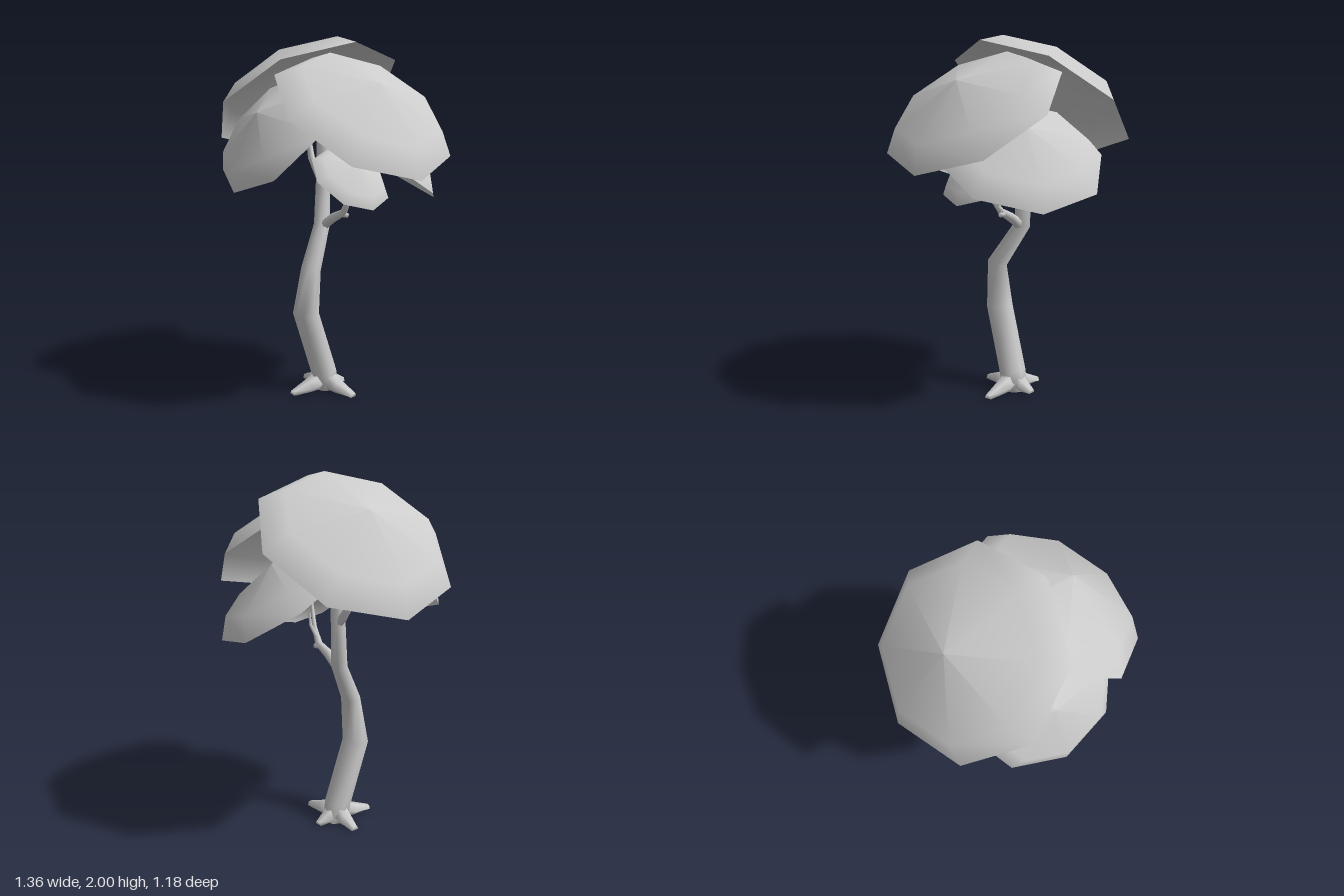
import * as THREE from 'three';

const V = (a) => new THREE.Vector3(...a);
const material = new THREE.MeshStandardMaterial({ color: 0xcccccc, side: THREE.DoubleSide });

// Tapered tube through points [x, y, z, radius]; vertices never drop below the ground.
function limb(name, path, sides, ref = [0, 0, 1]) {
  const pts = path.map((p) => V(p.slice(0, 3)));
  const pos = [], idx = [];
  pts.forEach((p, i) => {
    const t = new THREE.Vector3();
    if (i > 0) t.add(p.clone().sub(pts[i - 1]).normalize());
    if (i < pts.length - 1) t.add(pts[i + 1].clone().sub(p).normalize());
    t.normalize();
    if (p.y === 0) t.set(0, 1, 0); // level cut where it meets the ground
    const e1 = V(ref).cross(t).normalize();
    const e2 = t.clone().cross(e1);
    for (let k = 0; k < sides; k++) {
      const a = (k / sides) * Math.PI * 2;
      const v = p.clone().addScaledVector(e1, Math.cos(a) * path[i][3]).addScaledVector(e2, Math.sin(a) * path[i][3]);
      pos.push(v.x, Math.max(0, v.y), v.z);
    }
  });
  for (let i = 0; i < pts.length - 1; i++) {
    for (let k = 0; k < sides; k++) {
      const a = i * sides + k, b = i * sides + ((k + 1) % sides);
      idx.push(a, b, b + sides, a, b + sides, a + sides);
    }
  }
  // end caps
  const last = (pts.length - 1) * sides;
  for (let k = 1; k < sides - 1; k++) {
    idx.push(0, k + 1, k, last, last + k, last + k + 1);
  }
  const geo = new THREE.BufferGeometry();
  geo.setAttribute('position', new THREE.Float32BufferAttribute(pos, 3));
  geo.setIndex(idx);
  geo.computeVertexNormals();
  const mesh = new THREE.Mesh(geo, material);
  mesh.name = name;
  return mesh;
}

// Open eight-sided dome, placed by its rim centre and its lowest rim corner.
function canopy(name, centre, lowest) {
  const c = V(centre);
  const down = V(lowest).sub(c);
  const r = down.length();
  down.normalize();
  const side = new THREE.Vector3(0, 1, 0).cross(down).normalize();
  const normal = down.clone().cross(side);
  const profile = [[1, 0], [0.79, 0.22], [0, 0.414]].map(([x, y]) => new THREE.Vector2(x * r, y * r));
  const mesh = new THREE.Mesh(new THREE.LatheGeometry(profile, 8), material);
  mesh.name = name;
  mesh.quaternion.setFromRotationMatrix(new THREE.Matrix4().makeBasis(side, normal, down));
  mesh.position.copy(c);
  return mesh;
}

export function createModel() {
  const tree = new THREE.Group();
  tree.name = 'tree';

  // Bent trunk
  tree.add(limb('trunk', [
    [-0.045, 0, -0.01, 0.075], [-0.045, 0.1, 0.005, 0.075], [-0.05, 0.47, 0.125, 0.075],
    [-0.02, 0.73, 0.11, 0.056], [-0.095, 0.96, -0.02, 0.046], [-0.095, 1.25, -0.03, 0.04],
    [-0.095, 1.74, -0.03, 0.036],
  ], 8));

  // Four spreading roots
  const roots = new THREE.Group();
  roots.name = 'roots';
  [[0.18, -0.04], [-0.05, 0.22], [-0.23, 0], [-0.06, -0.14]].forEach(([x, z]) => {
    roots.add(limb('root', [
      [-0.045, 0.06, 0, 0.06],
      [-0.045 + (x + 0.045) * 0.5, 0.025, z * 0.5, 0.045],
      [x, 0.004, z, 0.023],
    ], 6, [0, 1, 0]));
  });
  tree.add(roots);

  // Branches and twigs
  tree.add(
    limb('leftBranch', [[-0.09, 0.95, -0.02, 0.032], [0.0, 1.01, -0.03, 0.027], [0.08, 1.05, -0.04, 0.021],
      [0.14, 1.13, -0.03, 0.014], [0.2, 1.26, -0.01, 0.009]], 6),
    limb('branchStub', [[0.06, 1.04, -0.04, 0.018], [0.1, 1.035, -0.055, 0.014]], 6),
    limb('twig', [[0.1, 1.08, -0.04, 0.012], [0.135, 1.15, -0.06, 0.009], [0.13, 1.22, -0.07, 0.006]], 5),
    limb('rightBranch', [[-0.1, 1.2, -0.03, 0.028], [-0.21, 1.33, -0.03, 0.02],
      [-0.24, 1.45, -0.03, 0.015], [-0.25, 1.62, -0.02, 0.01]], 6),
  );

  // Foliage domes
  tree.add(
    canopy('topCanopy', [-0.235, 1.66, -0.02], [-0.68, 1.35, -0.02]),
    canopy('leftCanopy', [0.265, 1.59, -0.03], [0.675, 1.29, -0.07]),
    canopy('frontCanopy', [-0.035, 1.5, 0.31], [-0.05, 1.2, 0.575]),
    canopy('backCanopy', [0.092, 1.364, -0.208], [0.255, 1.11, -0.555]),
    canopy('smallCanopy', [0.194, 1.253, 0], [0.37, 1.105, -0.015]),
  );
  return tree;
}
